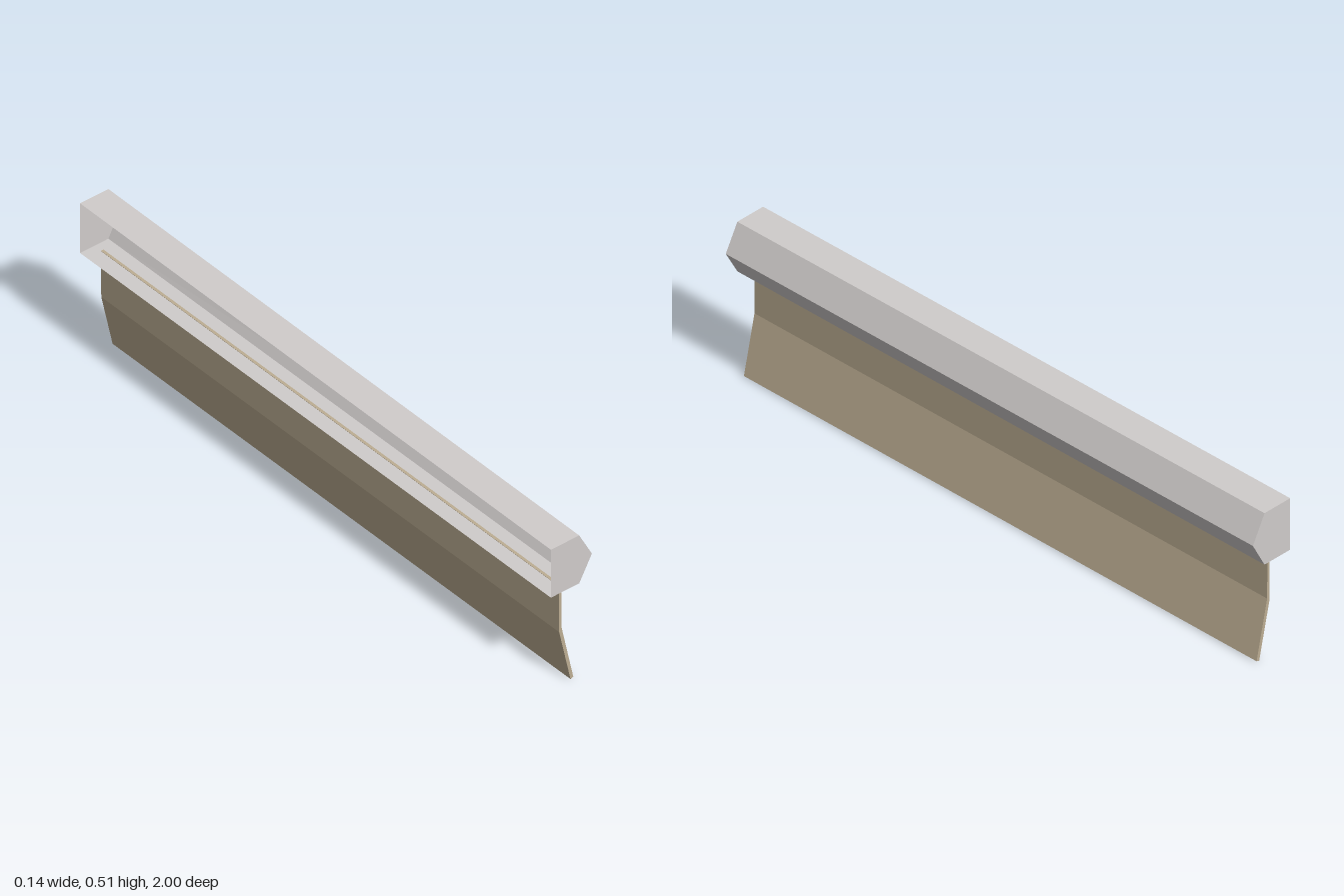
import * as THREE from 'three';

const casingGrey = new THREE.MeshStandardMaterial({ color: 0xd0cccb, side: THREE.DoubleSide });
casingGrey.name = 'casingGrey';
const bladeTan = new THREE.MeshStandardMaterial({ color: 0xbdae93 });
bladeTan.name = 'bladeTan';

// Pentagonal section, clockwise seen from the front; its first and last points bound the open side
const section = (top, mid, z) => [
  [-0.073, top, z], [0.027, top, z], [0.072, mid, z], [0.027, 0.337, z], [-0.073, 0.337, z],
];

// Thin shell open on the -x side, very slightly taller at the back
function casingGeometry() {
  const f = section(0.501, 0.417, 1);
  const b = section(0.507, 0.421, -1);
  const pos = [];
  const tri = (...points) => points.forEach((p) => pos.push(...p));
  for (let i = 0; i < 4; i++) {
    tri(f[i], f[i + 1], b[i + 1]);
    tri(f[i], b[i + 1], b[i]);
  }
  // End caps
  for (let i = 1; i < 4; i++) {
    tri(f[0], f[i + 1], f[i]);
    tri(b[0], b[i], b[i + 1]);
  }
  const geometry = new THREE.BufferGeometry();
  geometry.setAttribute('position', new THREE.Float32BufferAttribute(pos, 3));
  geometry.computeVertexNormals();
  return geometry;
}

// Thin sheet with one bend, hanging below the casing
function bladeGeometry() {
  const profile = [
    [-0.024, 0.338], [-0.023, 0.18], [0.017, 0], [0.027, 0.003], [-0.014, 0.19], [-0.015, 0.338],
  ].map(([x, y]) => new THREE.Vector2(x, y));
  const geometry = new THREE.ExtrudeGeometry(new THREE.Shape(profile), { depth: 1.945, bevelEnabled: false });
  geometry.translate(0, 0, -0.97);
  return geometry;
}

export function createModel() {
  const group = new THREE.Group();
  const casing = new THREE.Mesh(casingGeometry(), casingGrey);
  casing.name = 'casing';
  const blade = new THREE.Mesh(bladeGeometry(), bladeTan);
  blade.name = 'blade';
  group.add(casing, blade);
  return group;
}
